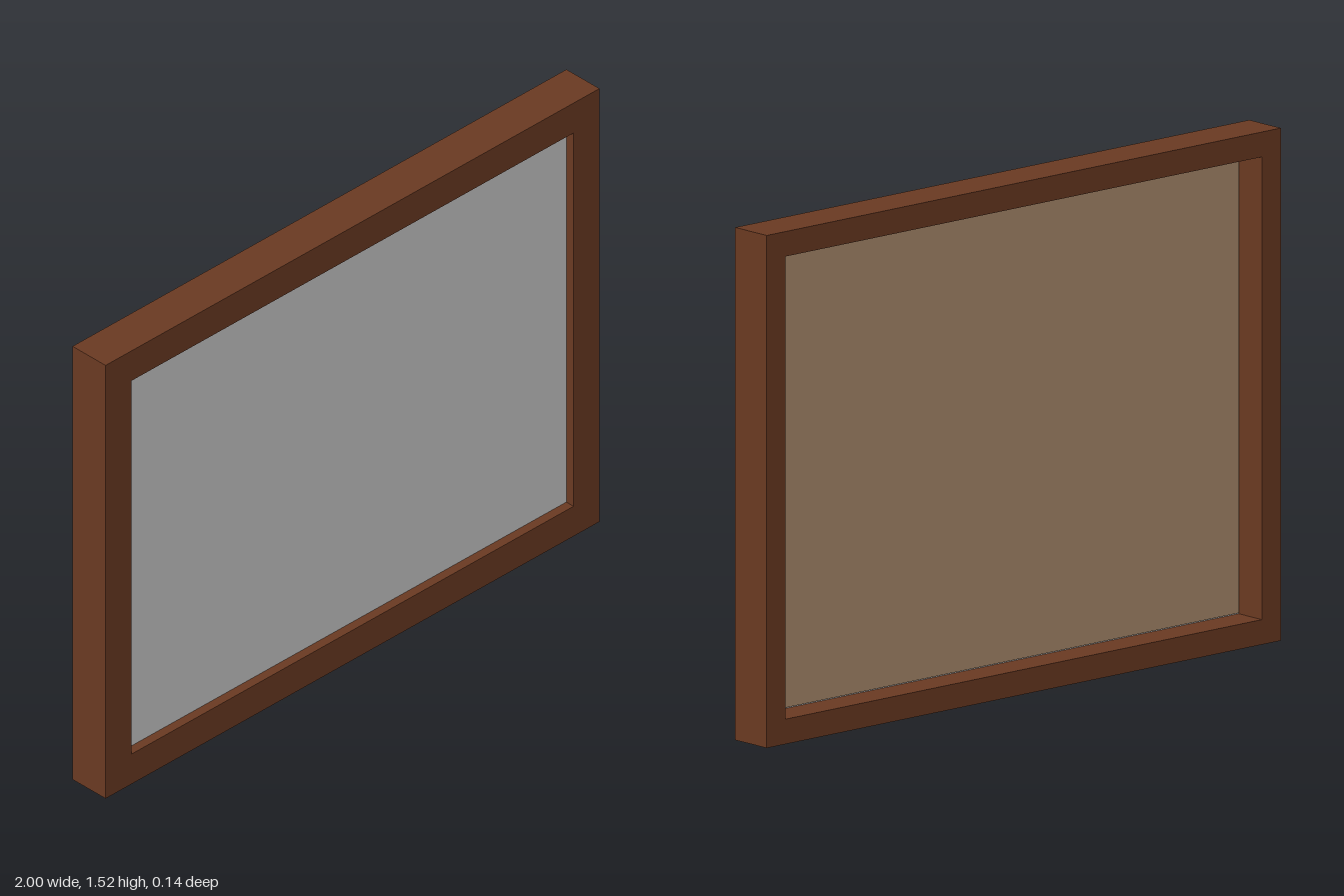
import * as THREE from 'three';

const W = 2, H = 1.52, FRONT = 0.068, BACK = -0.068;
const LIP = 0.105;    // visible front border
const RAIL = 0.074;   // back border around the rebate
const LIP_BACK = 0.038;

// Rectangular ring with the given border, spanning z0 to z1
function ring(border, z0, z1) {
  const rect = (T, w, h) => new T([
    new THREE.Vector2(-w / 2, -h / 2), new THREE.Vector2(w / 2, -h / 2),
    new THREE.Vector2(w / 2, h / 2), new THREE.Vector2(-w / 2, h / 2),
  ]);
  const shape = rect(THREE.Shape, W, H);
  shape.holes.push(rect(THREE.Path, W - 2 * border, H - 2 * border));
  const geo = new THREE.ExtrudeGeometry(shape, { depth: z1 - z0, bevelEnabled: false });
  return geo.translate(0, H / 2, z0);
}

// Flat sheet inset from the outer frame edge
function sheet(inset, z0, z1) {
  return new THREE.BoxGeometry(W - 2 * inset, H - 2 * inset, z1 - z0)
    .translate(0, H / 2, (z0 + z1) / 2);
}

export function createModel() {
  const wood = new THREE.MeshStandardMaterial({ color: 0x6b3a22 });
  wood.name = 'brown wood';
  const grey = new THREE.MeshStandardMaterial({ color: 0xc9c9c9 });
  grey.name = 'light grey';
  const tan = new THREE.MeshStandardMaterial({ color: 0xad8d6e });
  tan.name = 'tan board';

  const group = new THREE.Group();
  group.name = 'pictureFrame';
  const add = (name, geo, mat) => {
    const mesh = new THREE.Mesh(geo, mat);
    mesh.name = name;
    group.add(mesh);
  };

  // Narrow front lip over a deeper, wider-open rebate
  add('frontLip', ring(LIP, LIP_BACK, FRONT), wood);
  add('frameRails', ring(RAIL, BACK, LIP_BACK), wood);

  // Pane held behind the lip, with its backing board
  add('pane', sheet(RAIL, 0.032, LIP_BACK - 0.001), grey);
  add('backingBoard', sheet(RAIL + 0.004, 0.026, 0.032), tan);
  return group;
}
